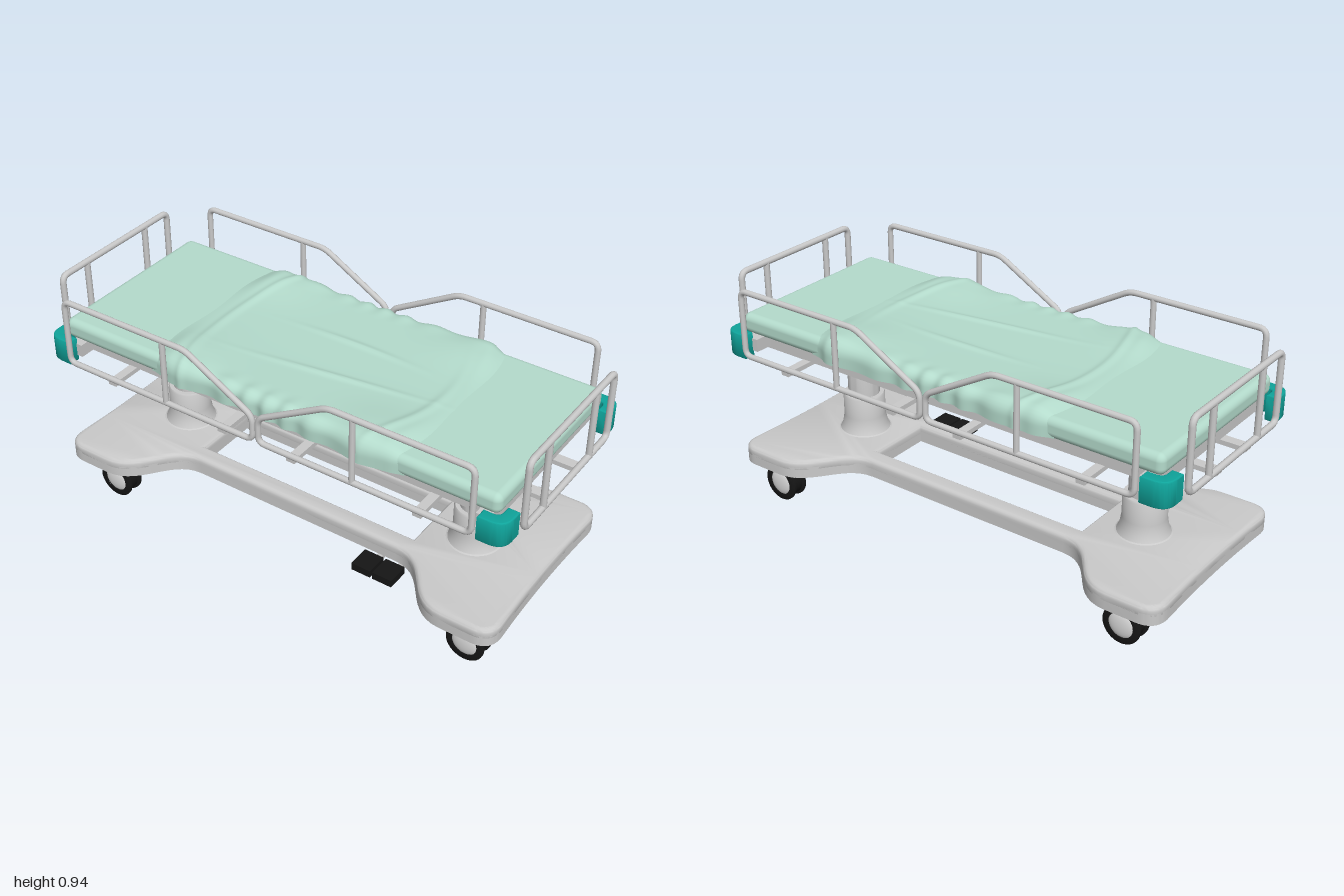
import * as THREE from 'three';
import { toCreasedNormals } from 'three/addons/utils/BufferGeometryUtils.js';
import { RoundedBoxGeometry } from 'three/addons/geometries/RoundedBoxGeometry.js';

const flat = (name, color) => Object.assign(new THREE.MeshStandardMaterial({ color }), { name });
const SIDES = [-1, 1];

export function createModel() {
  const grey = flat('grey metal', 0xcacaca);
  const teal = flat('teal bumper', 0x0fa49b);
  const green = flat('pale green fabric', 0xb4dbcc);
  green.side = THREE.DoubleSide;
  const black = flat('black rubber', 0x161616);
  const hubGrey = flat('hub grey', 0xdcdcdc);

  const model = new THREE.Group();
  model.name = 'hospitalBed';
  const add = (name, geo, mat, x = 0, y = 0, z = 0, parent = model) => {
    const m = new THREE.Mesh(geo, mat);
    m.name = name;
    m.position.set(x, y, z);
    parent.add(m);
    return m;
  };
  const box = (name, mat, w, h, d, x, y, z, parent) =>
    add(name, new THREE.BoxGeometry(w, h, d), mat, x, y, z, parent);
  // Extrudes a plan outline upwards from the given height
  const slab = (shape, y0, depth, bevel = 0) => {
    const g = new THREE.ExtrudeGeometry(shape, {
      depth: depth - 2 * bevel, curveSegments: 14, bevelEnabled: bevel > 0,
      bevelSize: bevel, bevelThickness: bevel, bevelOffset: -bevel, bevelSegments: 4,
    });
    g.rotateX(-Math.PI / 2).translate(0, y0 + bevel, 0);
    return toCreasedNormals(g, 0.6);
  };

  // Bone-shaped base with a long opening
  const base = new THREE.Shape();
  base.moveTo(-0.45, -0.205);
  base.lineTo(0.45, -0.205);
  base.bezierCurveTo(0.6, -0.205, 0.6, -0.41, 0.76, -0.41);
  base.lineTo(0.88, -0.41);
  base.quadraticCurveTo(0.96, -0.41, 0.96, -0.33);
  base.quadraticCurveTo(0.94, 0, 0.96, 0.33);
  base.quadraticCurveTo(0.96, 0.41, 0.88, 0.41);
  base.lineTo(0.76, 0.41);
  base.bezierCurveTo(0.6, 0.41, 0.6, 0.205, 0.45, 0.205);
  base.lineTo(-0.45, 0.205);
  base.bezierCurveTo(-0.6, 0.205, -0.6, 0.41, -0.76, 0.41);
  base.lineTo(-0.88, 0.41);
  base.quadraticCurveTo(-0.96, 0.41, -0.96, 0.33);
  base.quadraticCurveTo(-0.94, 0, -0.96, -0.33);
  base.quadraticCurveTo(-0.96, -0.41, -0.88, -0.41);
  base.lineTo(-0.76, -0.41);
  base.bezierCurveTo(-0.6, -0.41, -0.6, -0.205, -0.45, -0.205);
  const opening = new THREE.Path();
  opening.moveTo(-0.48, -0.13).lineTo(-0.48, 0.13).lineTo(0.48, 0.13).lineTo(0.48, -0.13).closePath();
  base.holes.push(opening);
  add('baseSkirt', slab(base, 0.172, 0.045), grey);
  add('baseTop', slab(base, 0.19, 0.055, 0.018), grey);

  // Telescopic lifting columns
  const profile = [[0.115, 0.24], [0.1, 0.248], [0.09, 0.268], [0.083, 0.31], [0.083, 0.395],
    [0.079, 0.402], [0.063, 0.402], [0.063, 0.577], [0.059, 0.583], [0.05, 0.583], [0.05, 0.66]];
  const column = toCreasedNormals(new THREE.LatheGeometry(
    profile.map(([r, y]) => new THREE.Vector2(r, y)), 40), 0.6);
  for (const s of SIDES) add('liftColumn', column, grey, s * 0.66);

  // Twin-wheel casters, all trailing the same way
  const tyre = toCreasedNormals(new THREE.LatheGeometry([[0.05, -0.008], [0.07, -0.008], [0.076, -0.004],
    [0.076, 0.004], [0.07, 0.008], [0.05, 0.008]].map(([r, y]) => new THREE.Vector2(r, y)), 40), 0.6);
  tyre.rotateX(Math.PI / 2);
  const hub = new THREE.SphereGeometry(0.054, 32, 16).scale(1, 1, 0.26);
  const core = new THREE.CylinderGeometry(0.066, 0.066, 0.05, 32).rotateX(Math.PI / 2);
  for (const [stemX, wheelX] of [[-0.82, -0.785], [0.785, 0.825]]) for (const s of SIDES) {
    const caster = new THREE.Group();
    caster.name = 'caster';
    caster.position.set(wheelX, 0.077, s * 0.305);
    model.add(caster);
    add('casterCore', core, black, 0, 0, 0, caster);
    for (const k of SIDES) {
      add('tyre', tyre, black, 0, 0, k * 0.028, caster);
      add('wheelHub', hub, hubGrey, 0, 0, k * 0.026, caster);
    }
    box('casterFork', grey, 0.1, 0.075, 0.036, (stemX - wheelX) / 2 + 0.012, 0.039, 0, caster);
    add('casterStem', new THREE.CylinderGeometry(0.018, 0.018, 0.03, 20), grey, stemX - wheelX, 0.086, 0, caster);
  }

  // Foot pedals on the front beam
  for (const x of [0.385, 0.475]) {
    box('pedalLever', grey, 0.02, 0.02, 0.1, x, 0.16, 0.23);
    box('pedalPad', black, 0.08, 0.03, 0.09, x, 0.19, 0.29);
  }

  // Mattress deck with beams and rail brackets
  box('deck', grey, 1.76, 0.072, 0.62, 0, 0.691, 0);
  for (const s of SIDES) {
    box('deckEndBeam', grey, 0.05, 0.05, 0.76, s * 0.875, 0.69, 0);
    for (const x of [-0.66, -0.15, 0.15, 0.66])
      box('sideBracket', grey, 0.035, 0.018, 0.26, x, 0.648, s * 0.3);
    for (const z of [-0.1, 0.1])
      box('endBracket', grey, 0.26, 0.018, 0.04, s * 0.86, 0.646, z);
  }

  // Rounded corner bumpers
  for (const sx of SIDES) for (const sz of SIDES) {
    const c = new THREE.Shape();
    const X = (v) => sx * v, Z = (v) => sz * v;
    c.moveTo(X(0.875), Z(0.375));
    c.lineTo(X(0.875), Z(0.42));
    c.lineTo(X(0.915), Z(0.42));
    c.quadraticCurveTo(X(0.98), Z(0.42), X(0.98), Z(0.36));
    c.lineTo(X(0.98), Z(0.322));
    c.lineTo(X(0.935), Z(0.322));
    c.lineTo(X(0.935), Z(0.35));
    c.quadraticCurveTo(X(0.935), Z(0.375), X(0.91), Z(0.375));
    c.closePath();
    add('cornerBumper', slab(c, 0.64, 0.1, 0.006), teal);
  }

  // Closed bent-tube frame with softened corners, plus upright bars
  const railFrame = (pts, uprights, bottom, r) => {
    const group = new THREE.Group();
    const v = pts.map(([x, y]) => new THREE.Vector3(x, y, 0));
    const path = new THREE.CurvePath();
    const n = v.length;
    const toward = (a, b) => a.clone().add(b.clone().sub(a).setLength(0.03));
    for (let i = 0; i < n; i++) {
      const a = v[i], b = v[(i + 1) % n], c = v[(i + 2) % n];
      path.add(new THREE.LineCurve3(toward(a, b), toward(b, a)));
      path.add(new THREE.QuadraticBezierCurve3(toward(b, a), b, toward(b, c)));
    }
    add('railTube', new THREE.TubeGeometry(path, 200, r, 10, true), grey, 0, 0, 0, group);
    for (const [x, top] of uprights)
      add('railUpright', new THREE.CylinderGeometry(r, r, top - bottom, 10), grey, x, (top + bottom) / 2, 0, group);
    model.add(group);
    return group;
  };
  for (const sx of SIDES) {
    for (const sz of SIDES) {
      const rail = railFrame([[0.863, 0.666], [0.863, 0.931], [0.3, 0.931], [0.012, 0.768], [0.012, 0.666]]
        .map(([x, y]) => [sx * x, y]), [[sx * 0.402, 0.931]], 0.666, 0.0115);
      rail.name = 'sideRail';
      rail.position.z = sz * 0.428;
    }
    const end = railFrame([[-0.302, 0.657], [-0.302, 0.931], [0.302, 0.931], [0.302, 0.657]],
      [[-0.167, 0.931], [0.167, 0.931]], 0.657, 0.0125);
    end.name = 'endRail';
    end.rotation.y = Math.PI / 2;
    end.position.x = sx * 0.9865;
  }

  // Mattress
  add('mattress', new RoundedBoxGeometry(1.86, 0.08, 0.745, 5, 0.028), green, 0, 0.764, 0);

  // Rumpled sheet draped across the mattress
  const sheet = new THREE.PlaneGeometry(1, 1, 140, 90);
  const pos = sheet.attributes.position;
  const bell = (t, w) => Math.exp(-(t * t) / (w * w));
  const TOP = 0.342, R = 0.032, ARC = R * Math.PI / 2, DROP = 0.042;
  for (let i = 0; i < pos.count; i++) {
    const u = pos.getX(i) + 0.5;
    const q = -pos.getY(i) * 2;
    const s = Math.abs(q) * (TOP + ARC + DROP), side = Math.sign(q);
    const ang = THREE.MathUtils.clamp((s - TOP) / R, 0, Math.PI / 2);
    const out = Math.min(s, TOP) + R * Math.sin(ang);
    const y = 0.804 - R * (1 - Math.cos(ang)) - Math.max(0, s - TOP - ARC);
    const z = side * out, bow = (out / 0.38) ** 2;
    const x = THREE.MathUtils.lerp(-0.57 + 0.06 * bow, 0.63 - 0.06 * bow, u);
    // Lift: soft humps near the ends, long creases, and pleats down the sides
    const edge = THREE.MathUtils.smoothstep(Math.min(u, 1 - u), 0, 0.09);
    const hump = (bell(x + 0.45, 0.16) + bell(x - 0.45, 0.18)) * bell(out - 0.29, 0.13);
    const crease = bell(z + 0.1 - 0.12 * (x - 0.1) ** 2, 0.012) * bell(x - 0.08, 0.2)
      + bell(z - 0.13 + 0.15 * x, 0.012) * bell(x - 0.12, 0.3)
      + bell(x + 0.43 - 0.5 * z * z, 0.016) + bell(x - 0.5 + 0.7 * z * z, 0.018) * bell(z - 0.15, 0.25);
    const pleat = Math.sin(x * 52 + 3 * Math.sin(x * 9) + side) * THREE.MathUtils.smoothstep(s, 0.28, 0.4);
    const d = -0.006 + edge * (0.009 + 0.018 * hump + 0.007 * crease + 0.006 * pleat + 0.005 * bow);
    pos.setXYZ(i, x, y + d * Math.cos(ang), z + side * d * Math.sin(ang));
  }
  sheet.computeVertexNormals();
  add('rumpledSheet', sheet, green);

  return model;
}
